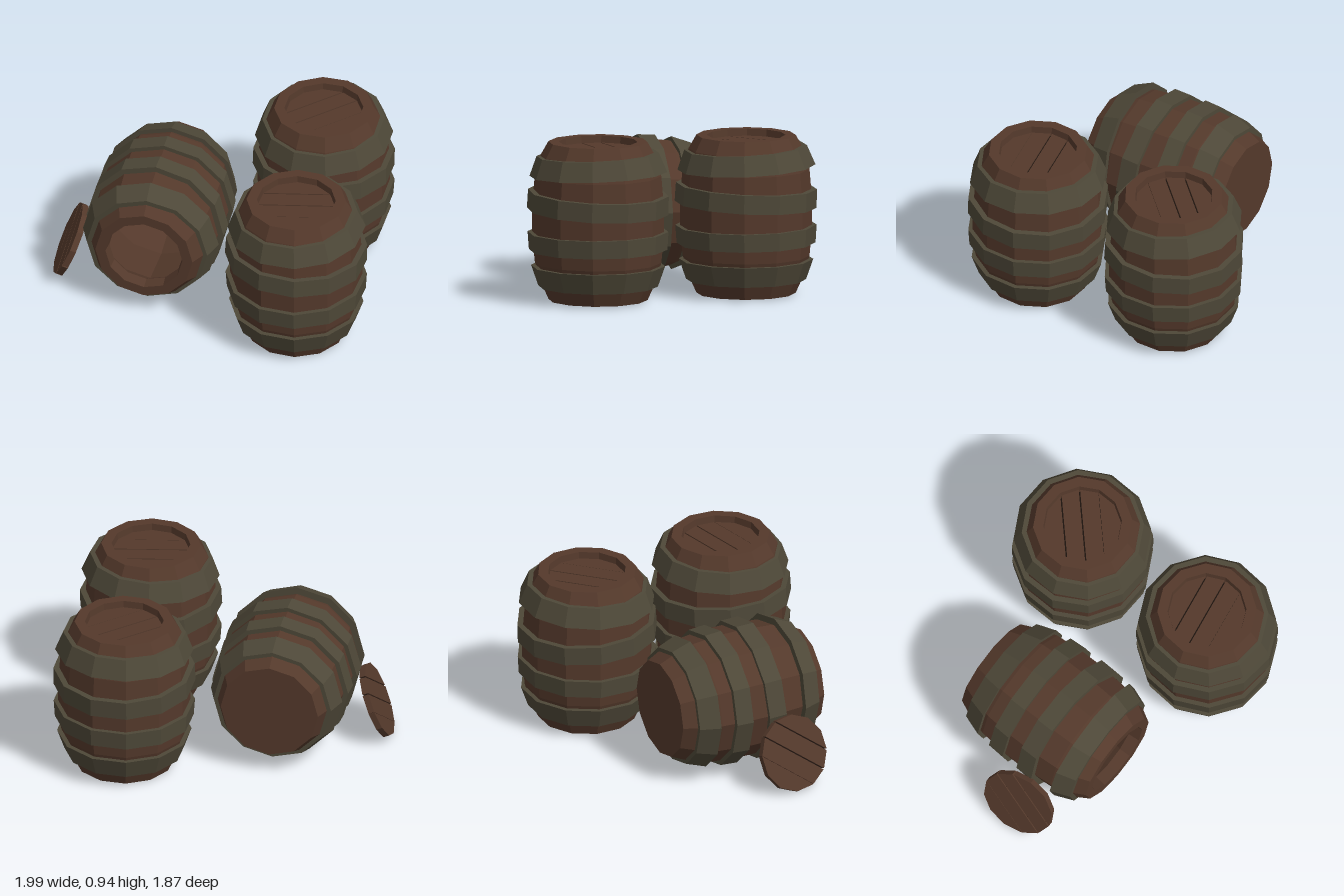
import * as THREE from 'three';

const SIDES = 12;
const material = (color) => new THREE.MeshStandardMaterial({ color, flatShading: true });
const wood = material(0x54392b);
const hoop = material(0x4e4838);
const dark = material(0x1c120d);

function addMesh(parent, name, geometry, mat) {
  const mesh = new THREE.Mesh(geometry, mat);
  mesh.name = name;
  parent.add(mesh);
  return mesh;
}

const lathe = (points) =>
  new THREE.LatheGeometry(points.map(([r, y]) => new THREE.Vector2(r, y)), SIDES);

// One plank: the strip from z = a to z = b of a twelve-sided disc
function plankGeometry(radius, a, b, thickness) {
  const corners = [-3, -2, -1, 0, 1, 2, 3].map((k) => [
    radius * Math.sin((k * Math.PI) / 6), radius * Math.cos((k * Math.PI) / 6)]);
  const halfWidth = (y) => {
    const i = Math.max(1, corners.findIndex((c) => c[0] >= y));
    const [y0, w0] = corners[i - 1];
    const [y1, w1] = corners[i];
    return w0 + ((w1 - w0) * (y - y0)) / (y1 - y0);
  };
  const ys = [a, ...corners.map((c) => c[0]).filter((y) => y > a + 1e-4 && y < b - 1e-4), b];
  const right = ys.map((y) => new THREE.Vector2(halfWidth(y), y));
  const left = ys.map((y) => new THREE.Vector2(-halfWidth(y), y)).reverse();
  const geometry = new THREE.ExtrudeGeometry(new THREE.Shape([...right, ...left]),
    { depth: thickness, bevelEnabled: false });
  return geometry.rotateX(Math.PI / 2).translate(0, thickness / 2, 0);
}

// Four planks with narrow dark seams between them
function createLid() {
  const lid = new THREE.Group();
  lid.name = 'lid';
  const r = 0.225, t = 0.036;
  const strips = [[-0.998 * r, -0.114], [-0.106, -0.004], [0.004, 0.109], [0.111, 0.998 * r]];
  for (const [a, b] of strips) addMesh(lid, 'lidPlank', plankGeometry(r, a, b, t), wood);
  addMesh(lid, 'lidSeams', new THREE.CylinderGeometry(r * 0.95, r * 0.95, t * 0.6, SIDES), dark);
  return lid;
}

function createBarrel(name, hasLid) {
  const barrel = new THREE.Group();
  barrel.name = name;

  // Hollow body: base, bulging outside, rim, then the inside down to the floor
  addMesh(barrel, 'barrelBody', lathe([
    [0, 0.01], [0.29, 0.01], [0.33, 0.1], [0.37, 0.23], [0.386, 0.4], [0.386, 0.55],
    [0.37, 0.74], [0.335, 0.86], [0.29, 0.94], [0.23, 0.94], [0.222, 0.87],
    [0.29, 0.77], [0.33, 0.48], [0.26, 0.06], [0, 0.06],
  ]), wood);

  // Hoops: bottom y, top y, bottom radius, top radius, tilt
  const hoops = [
    [0.09, 0.21, 0.35, 0.392, 0],
    [0.305, 0.41, 0.405, 0.412, 0.005],
    [0.53, 0.64, 0.414, 0.412, -0.04],
    [0.75, 0.865, 0.403, 0.358, 0.035],
  ];
  for (const [y0, y1, r0, r1, tilt] of hoops) {
    const mid = (y0 + y1) / 2;
    const half = (y1 - y0) / 2;
    const ring = addMesh(barrel, 'hoop', lathe([
      [r0 - 0.05, -half], [r0, -half], [r1, half], [r1 - 0.05, half]]), hoop);
    ring.position.y = mid;
    ring.rotation.set(tilt * 0.7, 0, tilt);
  }

  if (hasLid) {
    const lid = createLid();
    lid.position.y = 0.882;
    barrel.add(lid);
  }
  return barrel;
}

export function createModel() {
  const model = new THREE.Group();
  model.name = 'barrels';

  // Two standing barrels
  const front = createBarrel('frontBarrel', true);
  front.position.set(-0.03, 0, 0.51);
  front.rotation.y = -0.6;
  const side = createBarrel('sideBarrel', true);
  side.position.set(0.58, 0, -0.155);
  side.rotation.y = -0.02;

  // Open barrel lying on its side
  const lying = createBarrel('lyingBarrel', false);
  lying.position.set(-0.039, 0.42, -0.751);
  lying.rotation.set(0, Math.PI / 4, Math.PI / 2);

  // Loose lid leaning towards the lying barrel
  const loose = createLid();
  loose.name = 'looseLid';
  const across = new THREE.Vector3(-0.6, 0, 0.8);
  const normal = new THREE.Vector3(-0.74, 0.38, -0.555).normalize();
  const down = across.clone().cross(normal);
  const grain = across.multiplyScalar(Math.cos(0.7)).addScaledVector(down, Math.sin(0.7));
  loose.quaternion.setFromRotationMatrix(
    new THREE.Matrix4().makeBasis(grain, normal, grain.clone().cross(normal)));
  loose.position.set(-0.835, 0.215, -0.675);

  model.add(front, side, lying, loose);
  return model;
}
